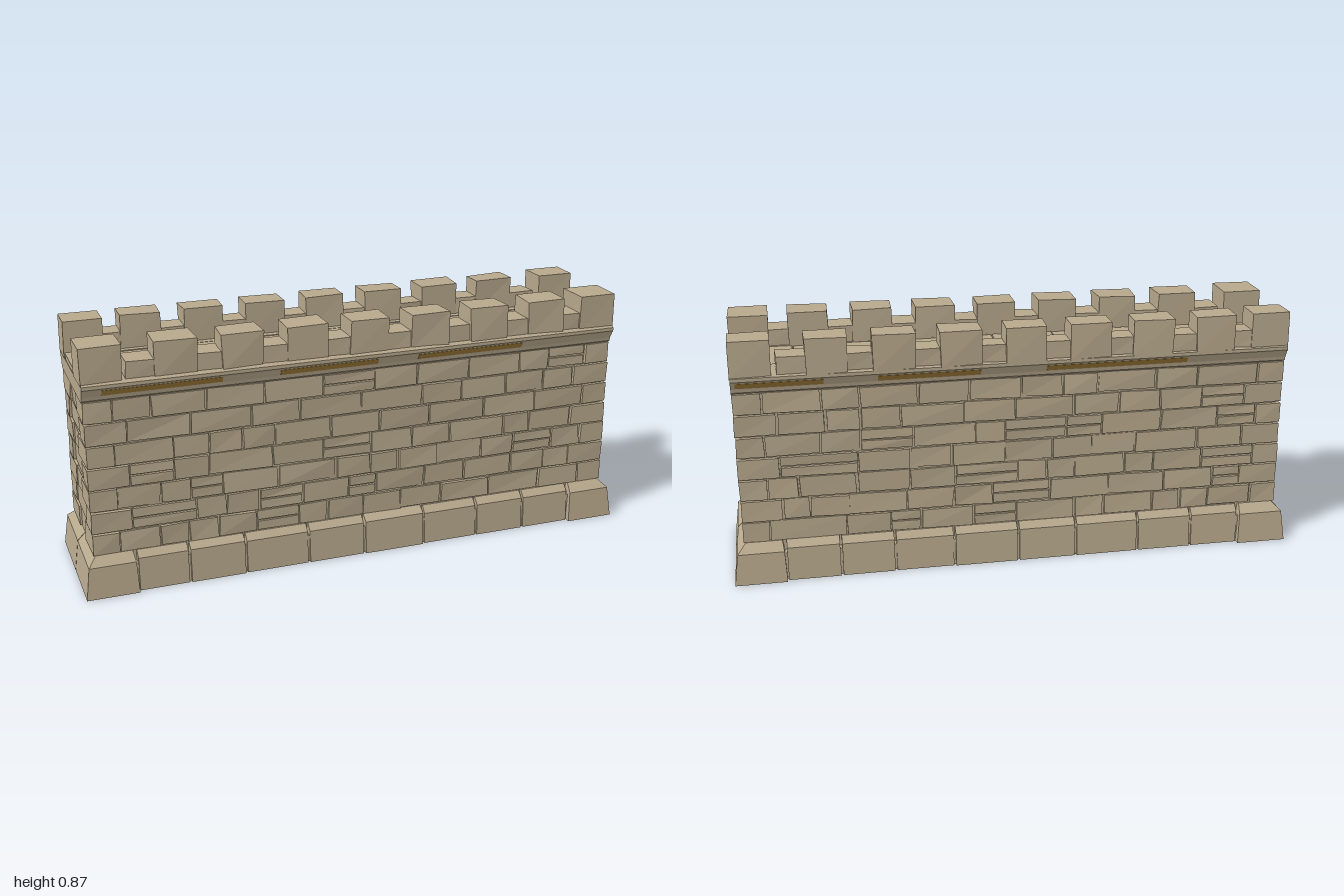
import * as THREE from 'three';
import { mergeGeometries } from 'three/addons/utils/BufferGeometryUtils.js';

export function createModel() {
  const group = new THREE.Group();
  const stone = new THREE.MeshStandardMaterial({ name: 'sandstone', color: 0xb7a88c, flatShading: true });
  const ochre = new THREE.MeshStandardMaterial({ name: 'ochre', color: 0x9a7836, flatShading: true });

  let seed = 7;
  const rnd = () => (seed = (seed * 16807) % 2147483647) / 2147483647;

  // Solid lofted through rectangles [y, x0, x1, z0, z1], corners shifted by up to j
  function loft(rings, j = 0) {
    const n = () => (rnd() - 0.5) * 2 * j;
    const pts = rings.map(([y, xa, xb, za, zb]) => {
      const x0 = Math.min(xa, xb), x1 = Math.max(xa, xb);
      const z0 = Math.min(za, zb), z1 = Math.max(za, zb);
      return [[x0, z1], [x1, z1], [x1, z0], [x0, z0]].map(([x, z]) => [x + n(), y + n() * 0.6, z + n()]);
    });
    const out = [];
    const quad = (a, b, c, d) => out.push(...a, ...b, ...c, ...a, ...c, ...d);
    for (let r = 0; r + 1 < pts.length; r++)
      for (let i = 0; i < 4; i++) {
        const k = (i + 1) % 4;
        quad(pts[r][i], pts[r][k], pts[r + 1][k], pts[r + 1][i]);
      }
    const b = pts[0], t = pts[pts.length - 1];
    quad(t[0], t[1], t[2], t[3]);
    quad(b[3], b[2], b[1], b[0]);
    const g = new THREE.BufferGeometry();
    g.setAttribute('position', new THREE.Float32BufferAttribute(out, 3));
    g.computeVertexNormals();
    return g;
  }
  const block = (x0, x1, y0, y1, z0, z1, j = 0) => loft([[y0, x0, x1, z0, z1], [y1, x0, x1, z0, z1]], j);
  const add = (name, list, mat = stone) => {
    const mesh = new THREE.Mesh(mergeGeometries(list), mat);
    mesh.name = name;
    group.add(mesh);
  };

  // Core behind the joints
  add('core', [
    block(-0.95, 0.95, 0.01, 0.69, -0.187, 0.187),
    block(-0.97, 0.97, 0, 0.1, -0.215, 0.215),
  ]);

  // Tapered base: large end stones and a row along each long side
  const base = [];
  for (const sx of [-1, 1]) for (const sz of [-1, 1])
    base.push(loft([
      [0, sx * 0.82, sx, sz * 0.002, sz * 0.24],
      [0.112, sx * 0.825, sx * 0.985, sz * 0.002, sz * 0.23],
      [0.142, sx * 0.83, sx * 0.955, sz * 0.002, sz * 0.198],
    ]));
  const joints = [-0.82, -0.64, -0.44, -0.21, 0, 0.23, 0.44, 0.63, 0.82];
  for (const s of [-1, 1])
    for (let i = 0; i + 1 < joints.length; i++) {
      const a = joints[i] + 0.004, b = joints[i + 1] - 0.004, d = rnd() * 0.006;
      base.push(loft([
        [0, a, b, 0, s * (0.222 + d)],
        [0.115 + d, a, b, 0, s * (0.216 + d)],
        [0.14, a, b, 0, s * 0.195],
      ]));
    }
  add('baseStones', base);

  // Seven courses: corner quoins, end stones and random bricks
  const quoins = [], ends = [], bricks = [];
  const H = 0.078, gap = 0.003;
  for (let c = 0; c < 7; c++) {
    const y0 = 0.14 + c * H + gap, y1 = 0.14 + (c + 1) * H - gap;
    const long = c % 2 === 0;
    const qx = long ? 0.87 : 0.825, qz = long ? 0.056 : 0.1;
    for (const s of [-1, 1]) {
      for (const sz of [-1, 1])
        quoins.push(block(s * qx, s * 0.963, y0, y1, sz * qz, sz * 0.2, 0.0025));
      ends.push(block(s * 0.9, s * 0.957, y0, y1, -qz + gap, qz - gap, 0.003));
      let x = -qx + gap;
      while (x < qx - 0.02) {
        let w = 0.1 + rnd() * 0.13;
        if (qx - x - w < 0.09) w = qx - x;
        const x1 = x + w - 2 * gap, z = s * (0.193 + rnd() * 0.006);
        if (rnd() < 0.12) {
          // Some bricks are split into two thin ones
          const m = (y0 + y1) / 2;
          bricks.push(block(x, x1, y0, m - gap, s * 0.15, z, 0.002));
          bricks.push(block(x, x1, m + gap, y1, s * 0.15, z, 0.002));
        } else bricks.push(block(x, x1, y0, y1, s * 0.15, z, 0.0035));
        x += w;
      }
    }
  }
  add('cornerQuoins', quoins);
  add('endStones', ends);
  add('wallBricks', bricks);

  // Cornice moulding, one cross-section run along the wall
  const half = [[0.19, 0.682], [0.2, 0.69], [0.203, 0.703], [0.216, 0.727], [0.221, 0.733], [0.221, 0.745], [0.21, 0.752], [0.1, 0.752], [0.1, 0.742]];
  const outline = [...half, ...half.slice().reverse().map(([z, y]) => [-z, y])];
  const cornice = new THREE.ExtrudeGeometry(
    new THREE.Shape(outline.map(([z, y]) => new THREE.Vector2(z, y))),
    { depth: 1.93, bevelEnabled: false });
  cornice.translate(0, 0, -0.965).rotateY(Math.PI / 2);
  add('cornice', [cornice]);

  // Ochre patches on the sloping face under the cornice
  const patches = [];
  const runs = { '-1': [[0.66, 0.95], [0.13, 0.48], [-0.6, -0.1]], 1: [[-0.9, -0.5], [-0.3, 0.05], [0.2, 0.6]] };
  for (const s of [-1, 1])
    for (const [a, b] of runs[s])
      patches.push(loft([[0.706, a, b, s * 0.2, s * 0.2065], [0.726, a, b, s * 0.211, s * 0.2175]]));
  add('ochrePatches', patches, ochre);

  // Walkway slabs and low sills at both ends
  const walk = [];
  const cuts = [-0.91, -0.58, -0.38, -0.18, 0.04, 0.17, 0.42, 0.62, 0.75, 0.91];
  for (let i = 0; i + 1 < cuts.length; i++)
    walk.push(block(cuts[i] + 0.002, cuts[i + 1] - 0.002, 0.73, 0.747 + rnd() * 0.004, -0.13, 0.11));
  for (const s of [-1, 1]) walk.push(block(s * 0.905, s * 0.964, 0.69, 0.762, -0.12, 0.1));
  add('walkway', walk);

  // Battlements: nine merlons per side with lower stones between them
  const merlons = [], sills = [];
  const rows = [{ z0: 0.1, z1: 0.21, shift: 0.02 }, { z0: -0.125, z1: -0.22, shift: -0.025 }];
  for (const { z0, z1, shift } of rows) {
    for (let i = -3; i <= 3; i++) {
      const x = i * 0.224 + shift;
      merlons.push(block(x - 0.07, x + 0.07, 0.74, 0.868, z0, z1, 0.004));
    }
    for (let i = -4; i < 4; i++) {
      const x = (i + 0.5) * 0.224 + shift;
      sills.push(block(x - 0.055, x + 0.055, 0.74, 0.81, z0 * 1.04, z1 * 0.97, 0.003));
    }
  }
  add('merlons', merlons);
  add('crenelSills', sills);

  // Corner merlons
  const corners = [];
  for (const s of [-1, 1]) {
    corners.push(block(s * 0.83, s * 0.966, 0.742, 0.87, 0.082, 0.212, 0.002));
    corners.push(block(s * 0.83, s * 0.966, 0.742, 0.87, -0.11, -0.217, 0.002));
  }
  add('cornerMerlons', corners);

  return group;
}
